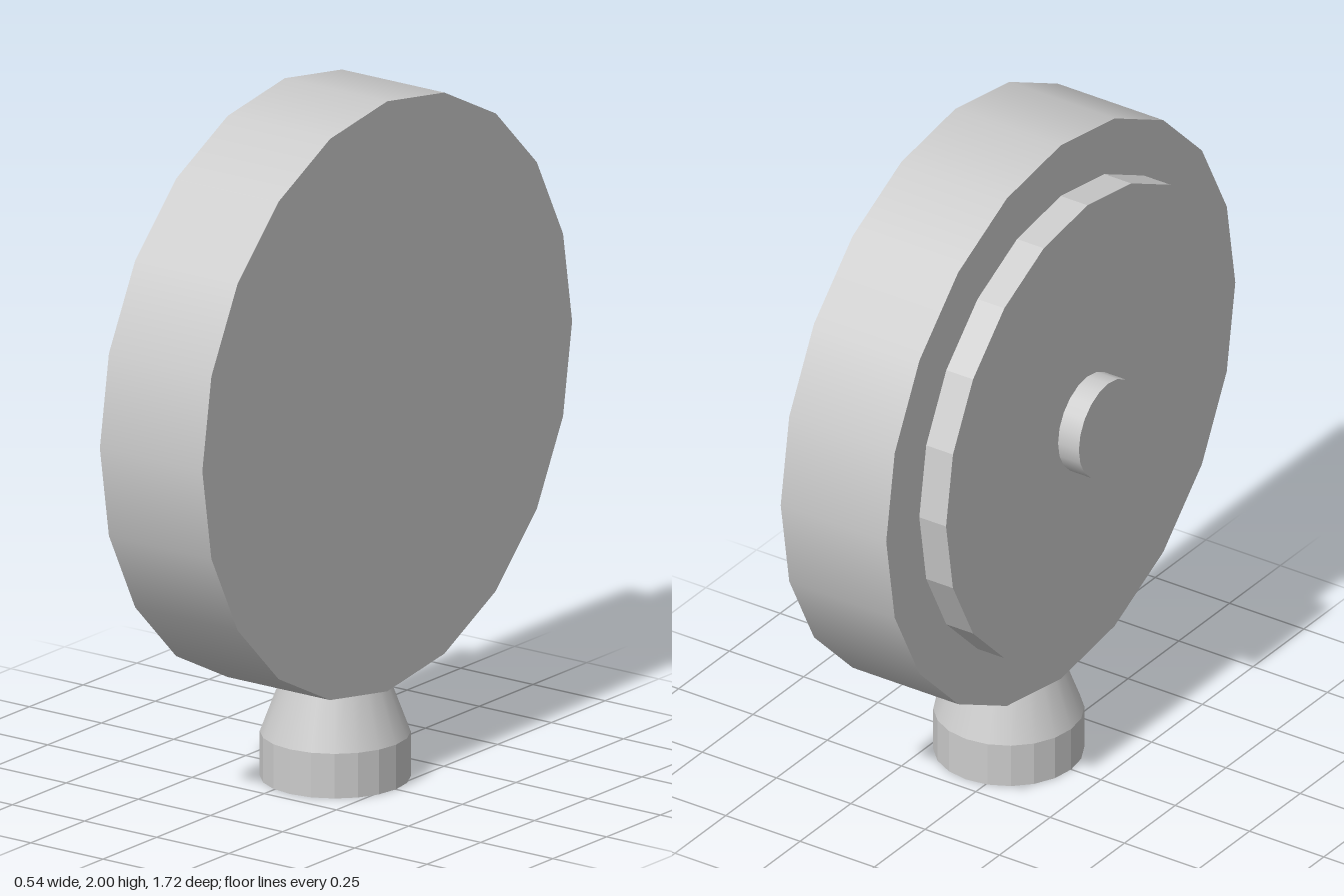
import * as THREE from 'three';

const SIDES = 20;

export function createModel() {
  const group = new THREE.Group();
  const smooth = new THREE.MeshStandardMaterial({ color: 0xcccccc });
  const faceted = new THREE.MeshStandardMaterial({ color: 0xcccccc, flatShading: true });

  // Disc lying along the x axis, between x0 and x1
  const disc = (name, radius, x0, x1, material) => {
    const geometry = new THREE.CylinderGeometry(radius, radius, x1 - x0, SIDES);
    geometry.rotateZ(Math.PI / 2);
    const mesh = new THREE.Mesh(geometry, material);
    mesh.name = name;
    mesh.position.set((x0 + x1) / 2, 1.14, 0);
    group.add(mesh);
  };

  // Upright round section of the stand, between y0 and y1
  const standPart = (name, rTop, rBottom, y0, y1, material, open) => {
    const geometry = new THREE.CylinderGeometry(rTop, rBottom, y1 - y0, SIDES, 1, open);
    const mesh = new THREE.Mesh(geometry, material);
    mesh.name = name;
    mesh.position.set(0.06, (y0 + y1) / 2, 0);
    group.add(mesh);
  };

  // Head: thick drum, stepped back plate and central knob
  disc('drum', 0.86, -0.115, 0.24, smooth);
  disc('backPlate', 0.697, -0.205, -0.115, faceted);
  disc('knob', 0.145, -0.275, -0.205, smooth);

  // Stand: faceted foot and tapered neck running into the drum
  standPart('foot', 0.21, 0.21, 0, 0.13, faceted, false);
  standPart('neck', 0.135, 0.21, 0.13, 0.33, smooth, false);

  return group;
}
